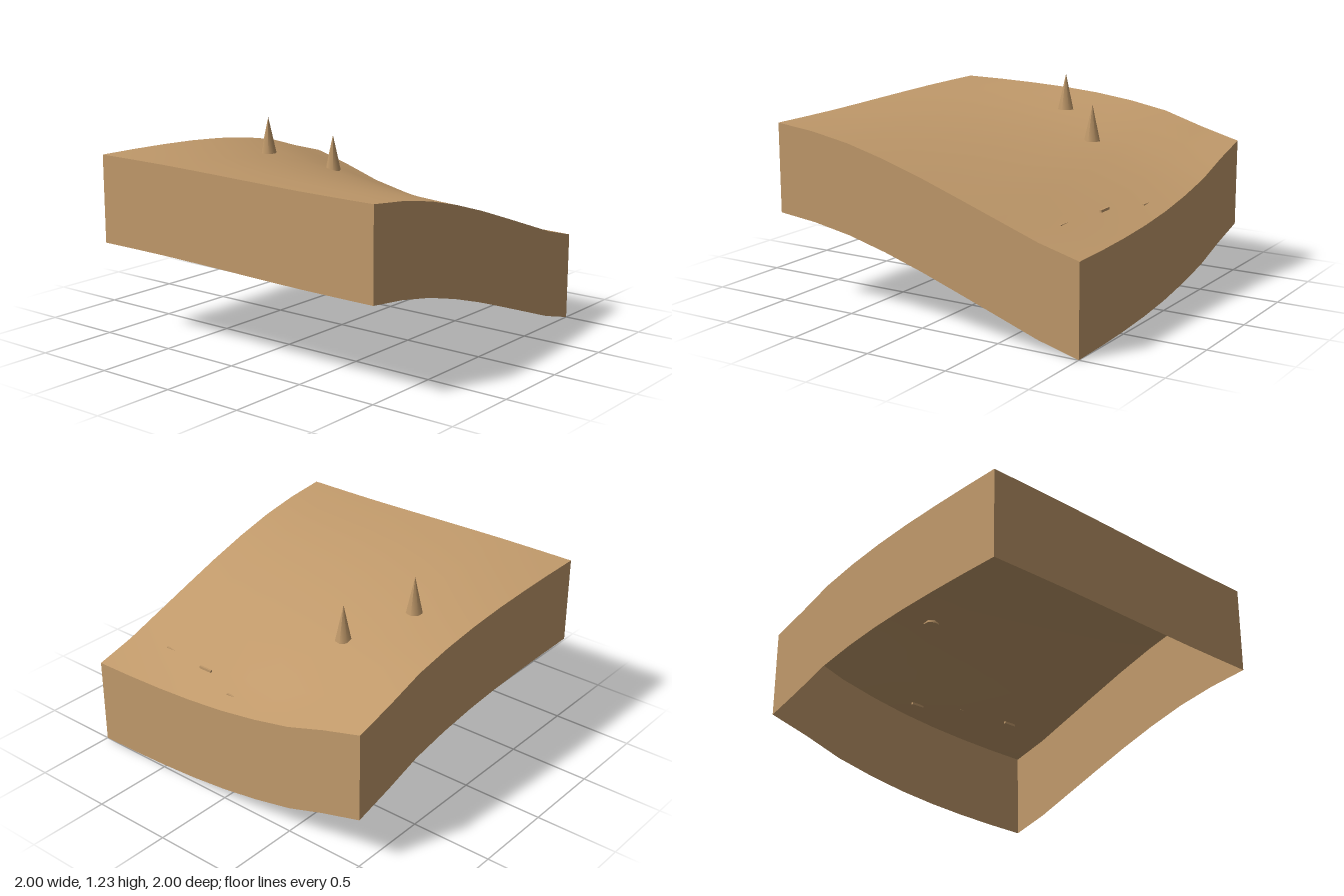
import * as THREE from 'three';

const DEPTH = 0.533;
const SEGMENTS = 8;

// Heights of the four rims, at -1, -0.5, 0, 0.5 and 1 along each
const rim = (heights) => {
  const curve = new THREE.SplineCurve(heights.map((h, i) => new THREE.Vector2(i / 2 - 1, h)));
  return (s) => curve.getPoint(THREE.MathUtils.clamp((s + 1) / 2, 0, 1)).y;
};
const front = rim([1.07, 1.0, 0.86, 0.688, 0.535]);
const back = rim([1.095, 1.088, 1.06, 0.985, 0.84]);
const left = rim([1.095, 1.093, 1.083, 1.072, 1.07]); // x = -1, from back to front
const right = rim([0.84, 0.69, 0.595, 0.55, 0.535]); // x = +1, from back to front

// Terrain height: a patch blended between the rims, with a slight swell in the middle
function height(x, z) {
  const u = (x + 1) / 2;
  const v = (z + 1) / 2;
  const mix = THREE.MathUtils.lerp;
  const corners = mix(mix(back(-1), back(1), u), mix(front(-1), front(1), u), v);
  const swell = 0.014 * (1 - x * x) * (1 - z * z);
  return mix(back(x), front(x), v) + mix(left(z), right(z), u) - corners + swell;
}

export function createModel() {
  const model = new THREE.Group();
  model.name = 'terrainTile';
  const sand = new THREE.MeshStandardMaterial({ color: 0xc19a6b, side: THREE.DoubleSide });
  sand.name = 'sand';
  const spikeSand = sand;

  const add = (name, geometry, material = sand) => {
    const mesh = new THREE.Mesh(geometry, material);
    mesh.name = name;
    model.add(mesh);
    return mesh;
  };

  // Rolling top surface
  const ground = new THREE.PlaneGeometry(2, 2, SEGMENTS, SEGMENTS).rotateX(-Math.PI / 2);
  const p = ground.attributes.position;
  for (let i = 0; i < p.count; i++) p.setY(i, height(p.getX(i), p.getZ(i)));
  ground.computeVertexNormals();
  add('ground', ground);

  // Four skirt walls following the rims; the underside stays open
  ['frontWall', 'rightWall', 'backWall', 'leftWall'].forEach((name, k) => {
    const wall = new THREE.PlaneGeometry(2, DEPTH, SEGMENTS, 1).translate(0, 0, 1).rotateY(k * Math.PI / 2);
    const q = wall.attributes.position;
    for (let i = 0; i < q.count; i++) {
      const drop = q.getY(i) > 0 ? 0 : DEPTH;
      q.setY(i, height(q.getX(i), q.getZ(i)) - drop);
    }
    add(name, wall);
  });

  // Pointed spikes standing on the slope
  [[0, 1.01, -0.585], [0.33, 0.88, -0.335]].forEach(([x, y, z], i) => {
    const cone = new THREE.ConeGeometry(0.05, 0.225, 7).translate(0, 0.1125, 0);
    add('spike' + (i + 1), cone, spikeSand).position.set(x, y, z);
  });

  // Small half-buried slabs near the low edge
  [[0.885, 0.625, 0.015], [0.78, 0.643, 0.33], [0.717, 0.622, 0.668]].forEach(([x, y, z], i) => {
    add('slab' + (i + 1), new THREE.BoxGeometry(0.012, 0.015, 0.09)).position.set(x, y, z);
  });

  return model;
}
